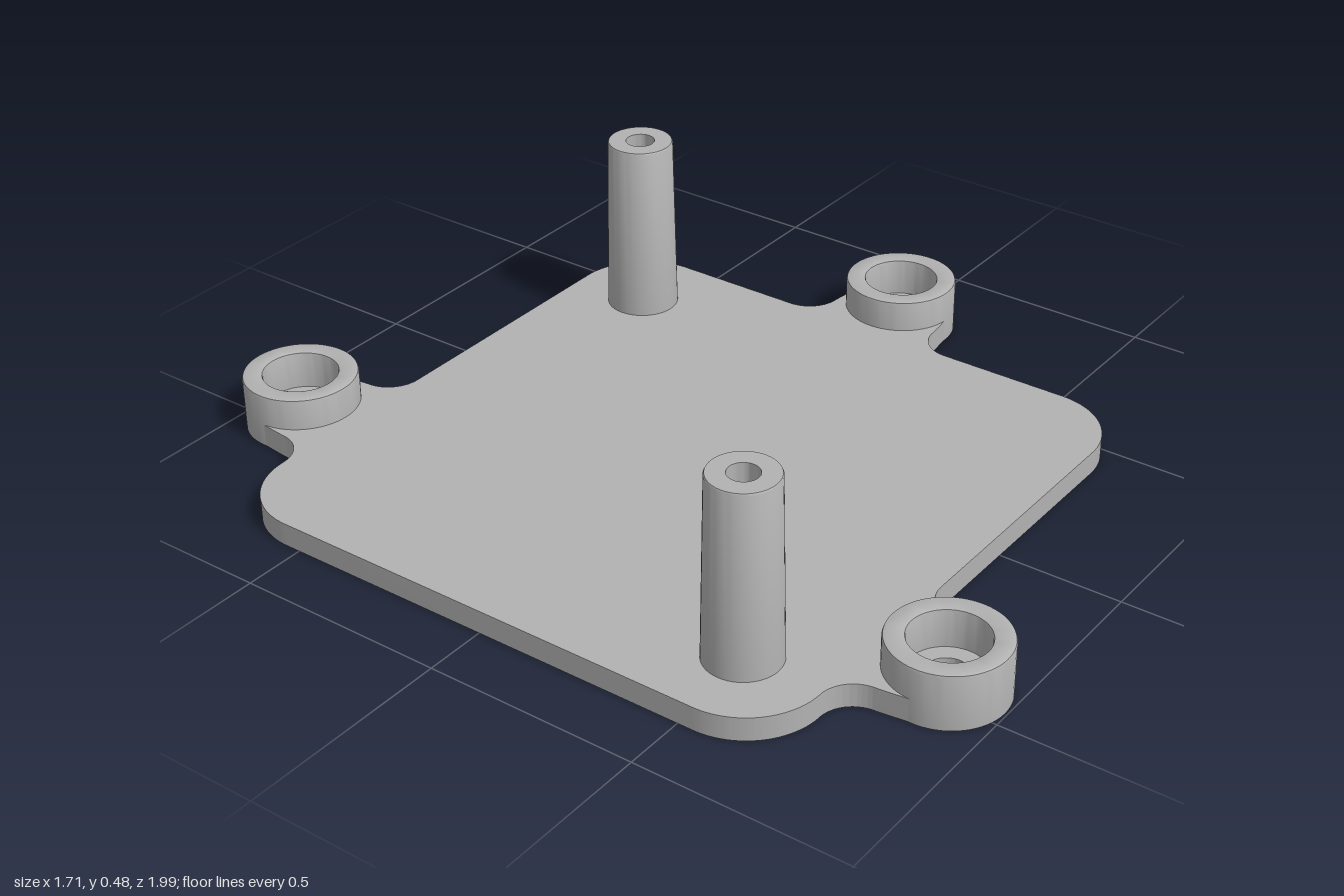
import * as THREE from 'three';
import { toCreasedNormals } from 'three/addons/utils/BufferGeometryUtils.js';

const PI = Math.PI;
const PLATE_H = 0.055;
const EAR_OUT = 0.152; // ear centre distance beyond the plate edge
const grey = new THREE.MeshStandardMaterial({ color: 0xb2b2b2 });
grey.name = 'plain grey';

function addMesh(group, name, geometry, x = 0, z = 0) {
  const mesh = new THREE.Mesh(toCreasedNormals(geometry, 0.6), grey);
  mesh.name = name;
  mesh.position.set(x, 0, z);
  group.add(mesh);
}

function lathe(points, segments = 64) {
  return new THREE.LatheGeometry(points.map(([r, y]) => new THREE.Vector2(r, y)), segments);
}

// Adds a filleted ear to the outline, pointing along angle a from edge point (x, y)
function addEar(shape, x, y, a) {
  const c = Math.cos(a), s = Math.sin(a);
  const at = (out, side) => [x + out * c - side * s, y + out * s + side * c];
  shape.absarc(...at(0.08, -0.22), 0.08, a + PI, a + PI / 2, true);
  shape.absarc(...at(EAR_OUT, 0), 0.131, a - PI / 2, a + PI / 2, false);
  shape.absarc(...at(0.08, 0.22), 0.08, a - PI / 2, a - PI, true);
}

export function createModel() {
  const group = new THREE.Group();
  group.name = 'mountingPlate';

  // Base plate outline, counter-clockwise, with rounded corners and three ears
  const L = -0.855, R = 0.57, D = 0.711, r = 0.175;
  const earX = -0.46;
  const shape = new THREE.Shape();
  addEar(shape, R, 0, 0);
  shape.absarc(R - r, D - r, r, 0, PI / 2, false);
  addEar(shape, earX, D, PI / 2);
  shape.absarc(L + r, D - r, r, PI / 2, PI, false);
  shape.absarc(L + r, -D + r, r, PI, 1.5 * PI, false);
  addEar(shape, earX, -D, -PI / 2);
  shape.absarc(R - r, -D + r, r, -PI / 2, 0, false);
  shape.closePath();

  // Openings that receive the ear bosses
  const ears = [[R + EAR_OUT, 0], [earX, D + EAR_OUT], [earX, -D - EAR_OUT]];
  for (const [x, y] of ears) {
    shape.holes.push(new THREE.Path().absarc(x, y, 0.11, 0, 2 * PI, true));
  }
  const plate = new THREE.ExtrudeGeometry(shape, { depth: PLATE_H, bevelEnabled: false, curveSegments: 32 });
  plate.rotateX(-PI / 2);
  addMesh(group, 'basePlate', plate);

  // Counterbored ear bosses with through holes
  const bossProfile = [
    [0.048, 0], [0.132, 0], [0.132, 0.122], [0.13, 0.128], [0.125, 0.13],
    [0.092, 0.13], [0.087, 0.128], [0.085, 0.122], [0.085, 0.04], [0.048, 0.04], [0.048, 0],
  ];
  for (const [x, z] of ears) addMesh(group, 'earBoss', lathe(bossProfile), x, z);

  // Tapered standoff posts with blind screw holes
  const postProfile = [
    [0.085, PLATE_H - 0.01], [0.077, 0.478], [0.075, 0.482],
    [0.034, 0.482], [0.034, 0.06], [0, 0.06],
  ];
  for (const [x, z] of [[0.377, -0.525], [-0.667, 0.52]]) {
    addMesh(group, 'standoffPost', lathe(postProfile, 48), x, z);
  }
  return group;
}
